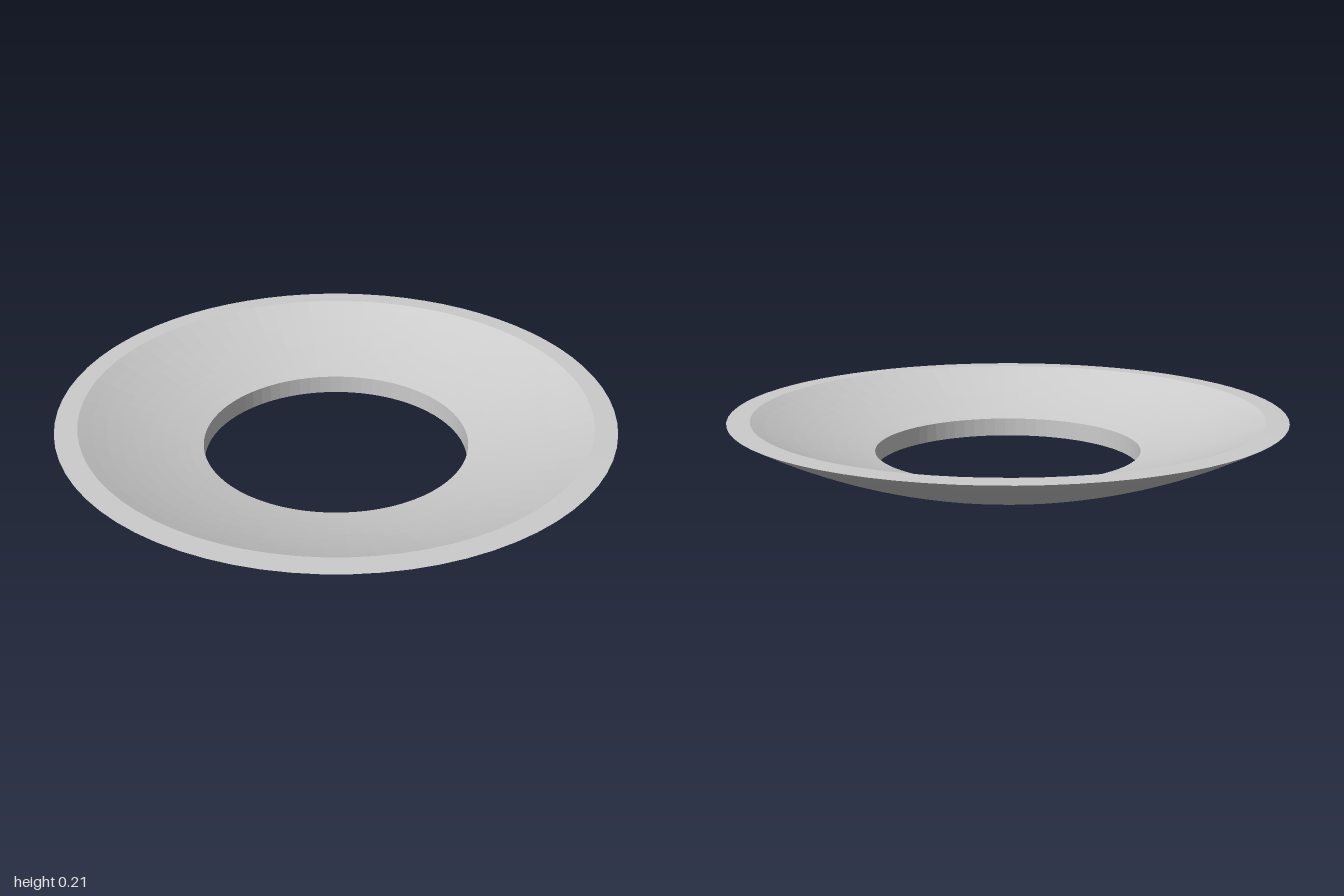
import * as THREE from 'three';

const HOLE = 0.485, BANDS = 9, SIDES = 72;

// Points on a spherical bowl from radius r0 to r1, centred on the y axis
function arc(radius, centreY, r0, r1) {
  return Array.from({ length: BANDS + 1 }, (_, i) => {
    const r = THREE.MathUtils.lerp(r0, r1, i / BANDS);
    return new THREE.Vector2(r, centreY - Math.sqrt(radius * radius - r * r));
  });
}

export function createModel() {
  const group = new THREE.Group();
  group.name = 'dishedRing';

  // Closed section: convex underside, flat rim, concave top, straight hole wall
  const underside = arc(1.986, 1.926, HOLE, 1);
  const inside = arc(2.301, 2.32, 0.92, HOLE);
  const profile = [...underside, ...inside, underside[0].clone()];
  const bottom = underside[0].y;
  const points = profile.map((p) => new THREE.Vector2(p.x, p.y - bottom));

  const ring = new THREE.Mesh(
    new THREE.LatheGeometry(points, SIDES),
    new THREE.MeshStandardMaterial({ color: 0xcccccc, flatShading: true })
  );
  ring.name = 'bowlRing';
  group.add(ring);
  return group;
}
